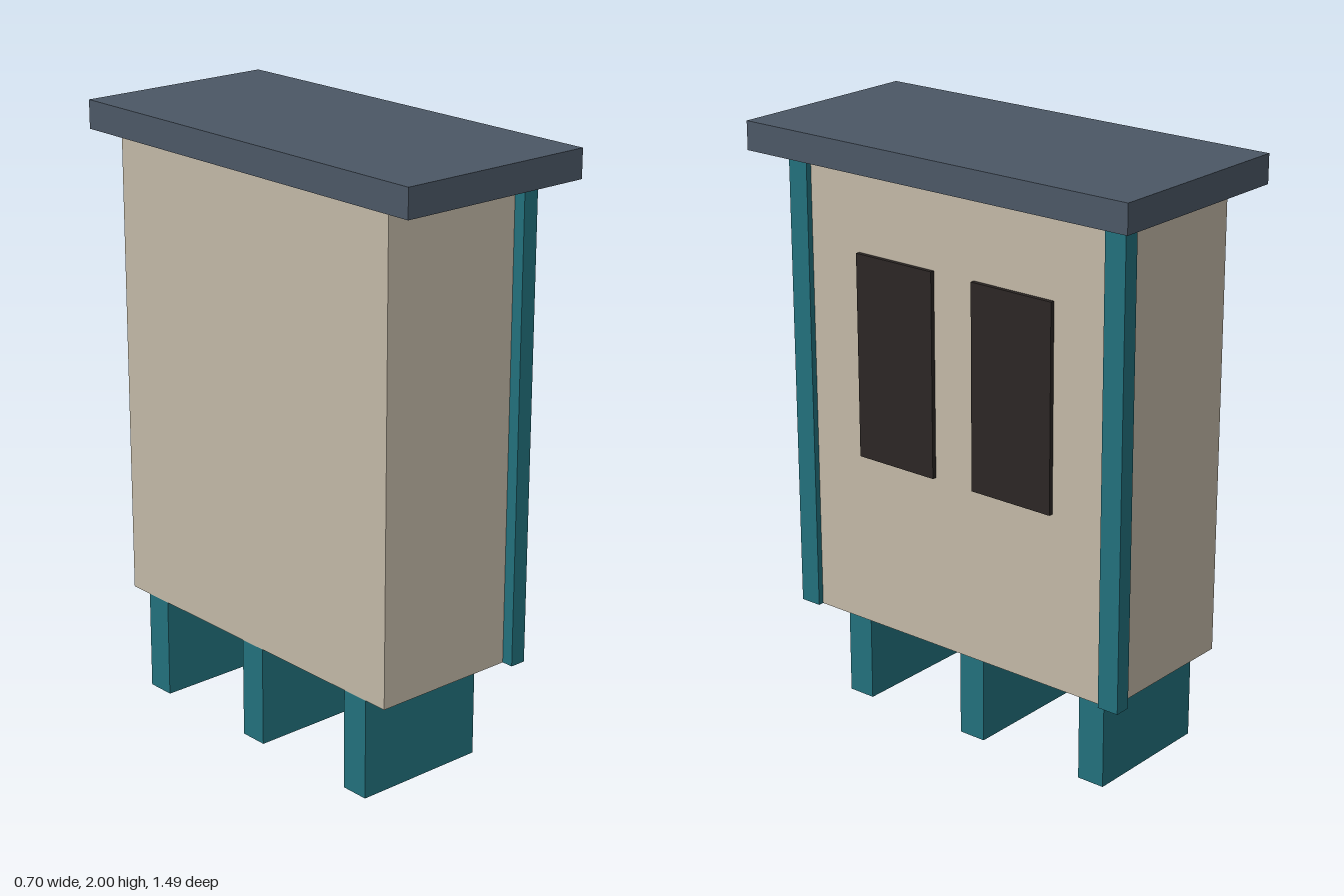
import * as THREE from 'three';

const paint = (color) => new THREE.MeshStandardMaterial({ color });

export function createModel() {
  const group = new THREE.Group();
  const wall = paint(0xc2b8a6);
  const teal = paint(0x22707c);
  const slate = paint(0x4b5765);
  const dark = paint(0x2b2624);

  // Box given by its limits along each axis
  function block(name, material, [x0, x1], [y0, y1], [z0, z1]) {
    const mesh = new THREE.Mesh(new THREE.BoxGeometry(x1 - x0, y1 - y0, z1 - z0), material);
    mesh.position.set((x0 + x1) / 2, (y0 + y1) / 2, (z0 + z1) / 2);
    mesh.name = name;
    group.add(mesh);
  }

  const floor = 0.337, eaves = 1.905;

  // Cabinet and overhanging flat roof
  block('body', wall, [-0.315, 0.23], [floor, eaves], [-0.625, 0.625]);
  block('roof', slate, [-0.352, 0.352], [eaves, 2], [-0.745, 0.745]);

  // Corner posts and dark panels, mirrored across z
  for (const side of [1, -1]) {
    const span = (a, b) => (side > 0 ? [a, b] : [-b, -a]);
    const suffix = side > 0 ? 'Front' : 'Back';
    block('cornerPost' + suffix, teal, [0.195, 0.25], [floor, eaves], span(0.59, 0.665));
    block('windowPanel' + suffix, dark, [0.22, 0.245], [0.925, 1.61], span(0.08, 0.39));
  }

  // Three supports under the floor
  [-0.492, 0, 0.492].forEach((z, i) => {
    block('support' + (i + 1), teal, [-0.315, 0.153], [0, floor], [z - 0.049, z + 0.049]);
  });

  return group;
}
